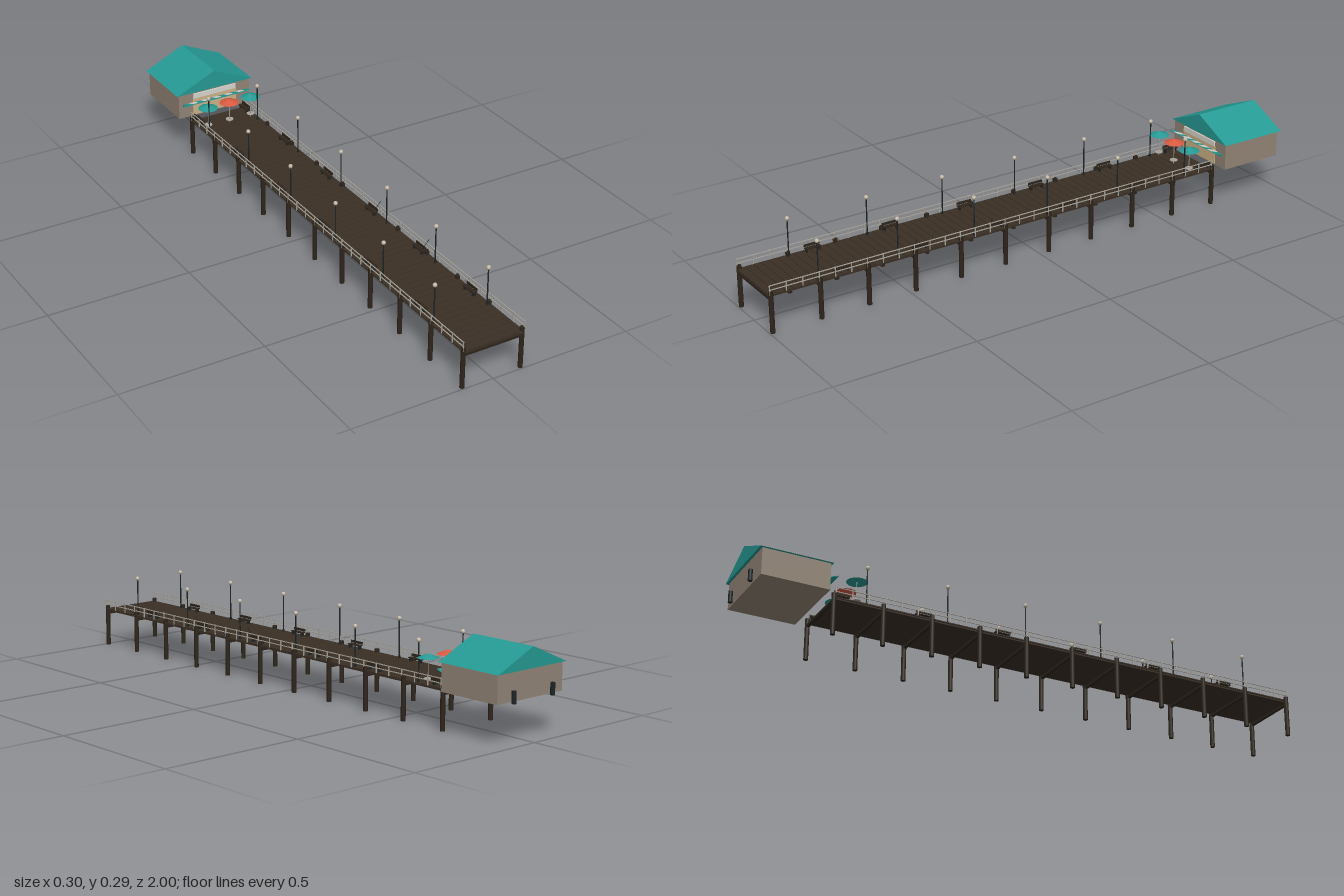
import * as THREE from 'three';

const mat = (name, color) => {
  const m = new THREE.MeshStandardMaterial({ color });
  m.name = name;
  return m;
};

export function createModel() {
  const deckWood = mat('deck wood', 0x3a2f25);
  const timber = mat('dark timber', 0x2e251c);
  const railGrey = mat('weathered rail', 0xa8a49a);
  const iron = mat('dark iron', 0x1c2426);
  const lampGlass = mat('lamp glass', 0xc8bda8);
  const wall = mat('taupe wall', 0x938577);
  const teal = mat('teal', 0x269a94);
  const white = mat('off white', 0xd8d6ce);
  const sand = mat('sand', 0xcdb287);
  const coral = mat('coral', 0xd85a40);

  const root = new THREE.Group();
  root.name = 'pier';
  const group = (name, parent = root) => {
    const g = new THREE.Group();
    g.name = name;
    parent.add(g);
    return g;
  };
  const add = (parent, name, geo, material, x, y, z) => {
    const m = new THREE.Mesh(geo, material);
    m.name = name;
    m.position.set(x, y, z);
    parent.add(m);
    return m;
  };
  const box = (p, name, m, w, h, d, x, y, z) => add(p, name, new THREE.BoxGeometry(w, h, d), m, x, y, z);
  const post = (p, name, m, r, y0, y1, x, z, n = 8) =>
    add(p, name, new THREE.CylinderGeometry(r, r, y1 - y0, n), m, x, (y0 + y1) / 2, z);

  const front = 0.998, back = -0.716, len = front - back, mid = (front + back) / 2;

  // Deck: solid base with crosswise planks
  const deck = group('deck');
  box(deck, 'deckBase', deckWood, 0.21, 0.006, len, 0, 0.127, mid);
  const planks = 60, pitch = len / planks;
  for (let i = 0; i < planks; i++)
    box(deck, 'plank', deckWood, 0.218, 0.004, pitch - 0.002, 0, 0.131, back + (i + 0.5) * pitch);

  // Piles and crossbeams
  const supports = group('supports');
  for (let i = 0; i < 11; i++) {
    const z = 0.99 - i * 0.171;
    for (const s of [-1, 1]) post(supports, 'pile', timber, 0.008, 0, 0.144, s * 0.106, z, 10);
    box(supports, 'crossbeam', timber, 0.212, 0.01, 0.01, 0, 0.118, z);
  }

  // Railings
  const railings = group('railings');
  for (const s of [-1, 1]) {
    for (const y of [0.149, 0.164])
      box(railings, 'rail', railGrey, 0.003, 0.0025, len, s * 0.11, y, mid);
    for (let i = 0; i <= 30; i++)
      box(railings, 'railPost', railGrey, 0.003, 0.034, 0.003, s * 0.11, 0.149, 0.995 - i * 0.057);
  }

  // Lamps and benches along both sides
  for (let i = 0; i < 6; i++) {
    for (const s of [-1, 1]) {
      const lamp = group('lamp');
      lamp.position.set(s * 0.097, 0, 0.82 - i * 0.285);
      post(lamp, 'lampBase', iron, 0.004, 0.133, 0.14, 0, 0);
      post(lamp, 'lampPole', iron, 0.0022, 0.133, 0.257, 0, 0);
      add(lamp, 'lampGlobe', new THREE.SphereGeometry(0.0075, 8, 6), lampGlass, 0, 0.264, 0);

      const bench = group('bench');
      bench.position.set(s * 0.09, 0, 0.738 - i * 0.2855);
      box(bench, 'benchSeat', timber, 0.016, 0.003, 0.055, 0, 0.1455, 0);
      box(bench, 'benchBack', timber, 0.003, 0.008, 0.055, s * 0.008, 0.153, 0);
      for (const e of [-1, 1])
        box(bench, 'benchLeg', iron, 0.014, 0.012, 0.003, 0, 0.139, e * 0.022);
    }
  }

  // Fishing rods leaning over the rail
  for (const z of [0.47, 0.185]) {
    const rod = new THREE.LineCurve3(new THREE.Vector3(0.092, 0.15, z), new THREE.Vector3(0.113, 0.183, z + 0.006));
    add(root, 'fishingRod', new THREE.TubeGeometry(rod, 1, 0.0009, 5), iron, 0, 0, 0);
  }

  // Umbrella tables
  [teal, coral, teal].forEach((m, i) => {
    const t = group('umbrellaTable');
    t.position.set((i - 1) * 0.085, 0, -0.635);
    post(t, 'umbrellaPole', railGrey, 0.0014, 0.133, 0.215, 0, 0, 6);
    post(t, 'tableTop', railGrey, 0.014, 0.145, 0.1475, 0, 0, 12);
    add(t, 'canopy', new THREE.ConeGeometry(0.035, 0.014, 12), m, 0, 0.2185, 0).material = m;
  });

  // Kiosk with gable roof
  const kiosk = group('kiosk');
  box(kiosk, 'walls', wall, 0.284, 0.092, 0.23, 0, 0.179, -0.863);
  const gable = new THREE.Shape();
  gable.moveTo(-0.15, 0);
  gable.lineTo(0.15, 0);
  gable.lineTo(0, 0.067);
  gable.closePath();
  add(kiosk, 'roof', new THREE.ExtrudeGeometry(gable, { depth: 0.245, bevelEnabled: false }), teal, 0, 0.225, -0.987);
  box(kiosk, 'servingPanel', sand, 0.174, 0.064, 0.004, 0, 0.169, -0.747);
  box(kiosk, 'signBoard', white, 0.17, 0.018, 0.006, 0, 0.21, -0.746);

  // Striped awning tilted up toward the pier, with a valance at the wall
  const awning = group('awning', kiosk);
  box(awning, 'valance', teal, 0.256, 0.009, 0.003, 0, 0.182, -0.743);
  const slope = group('awningSlope', awning);
  slope.position.set(0, 0.1905, -0.73);
  slope.rotation.x = -0.33;
  box(slope, 'awningSheet', teal, 0.256, 0.002, 0.032, 0, 0, 0);
  for (let i = 0; i < 5; i++)
    box(slope, 'awningStripe', white, 0.0233, 0.001, 0.032, (i - 2) * 0.0466, 0.0015, 0);

  // Barrels behind the kiosk
  for (const s of [-1, 1]) post(kiosk, 'barrel', iron, 0.0075, 0.131, 0.17, s * 0.085, -0.9915, 10);

  return root;
}
